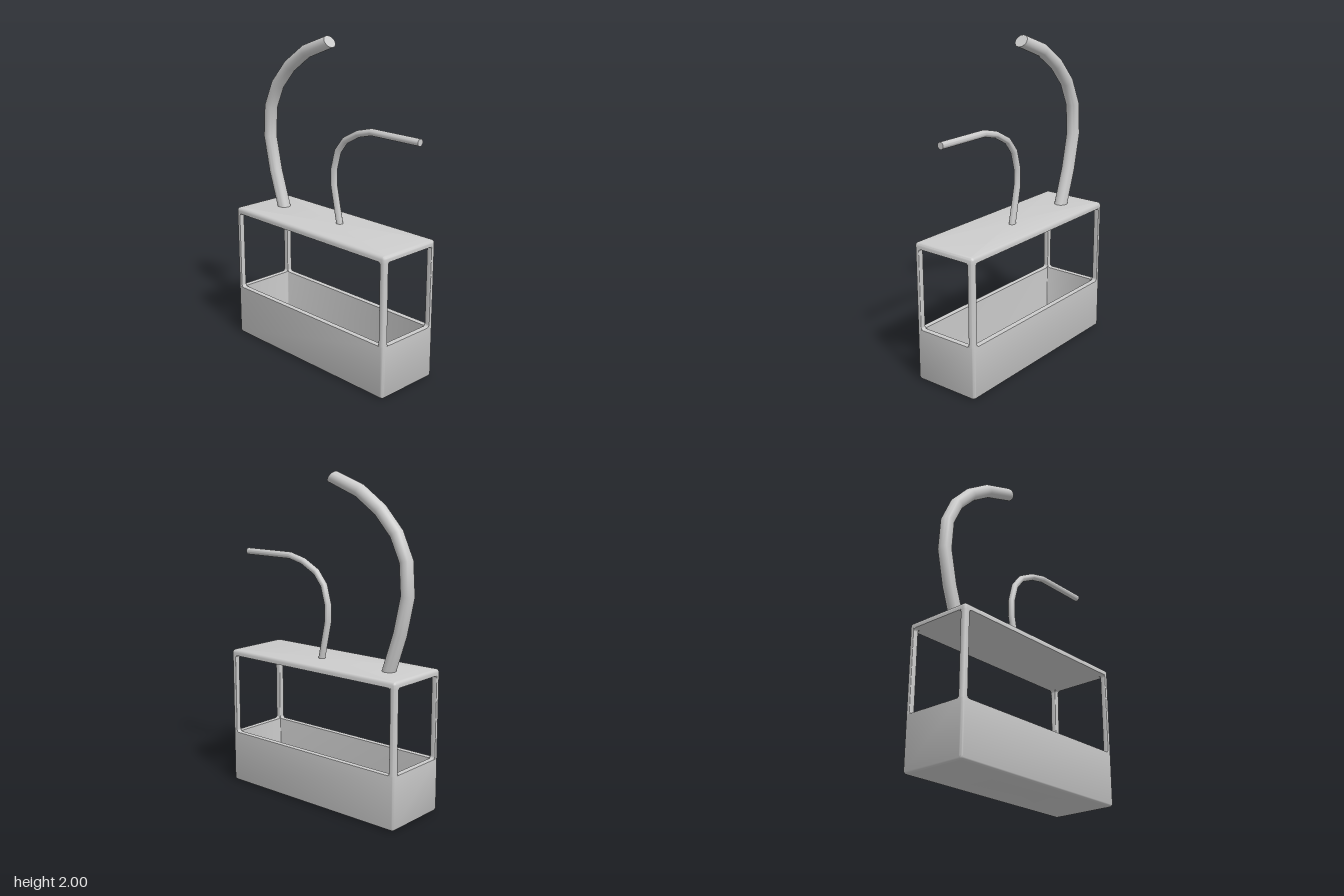
import * as THREE from 'three';
import { toCreasedNormals } from 'three/addons/utils/BufferGeometryUtils.js';

const W = 0.651, D = 0.218, H = 0.875;   // half width, half depth, height of the case
const CX = -0.0125, CZ = -0.004;         // case centre
const WALL = 0.034, R = 0.02;            // wall thickness, outer edge radius
const SILL = 0.33, LINTEL = 0.838;       // opening heights
const material = new THREE.MeshStandardMaterial({ color: 0xcccccc });

// Closed solid through a series of equal-length rings
function loft(rings) {
  const n = rings[0].length, pos = [];
  const tri = (...pts) => pts.forEach(p => pos.push(p.x, p.y, p.z));
  for (let i = 0; i < rings.length - 1; i++) {
    for (let j = 0; j < n; j++) {
      const k = (j + 1) % n, a = rings[i], b = rings[i + 1];
      tri(a[j], a[k], b[k]);
      tri(a[j], b[k], b[j]);
    }
  }
  const centre = ring => ring.reduce((s, p) => s.add(p), new THREE.Vector3()).divideScalar(n);
  const first = rings[0], last = rings[rings.length - 1];
  const c0 = centre(first), c1 = centre(last);
  for (let j = 0; j < n; j++) {
    const k = (j + 1) % n;
    tri(c0, first[k], first[j]);
    tri(c1, last[j], last[k]);
  }
  const g = new THREE.BufferGeometry();
  g.setAttribute('position', new THREE.Float32BufferAttribute(pos, 3));
  return toCreasedNormals(g, 0.75);
}

// Horizontal rounded rectangle; radii start at the +x, -z corner
function rectRing(w, d, y, radii, cx = CX, cz = CZ) {
  const signs = [[1, -1], [-1, -1], [-1, 1], [1, 1]], ring = [];
  signs.forEach(([sx, sz], q) => {
    for (let i = 0; i <= 5; i++) {
      const a = (q + i / 5) * Math.PI / 2, r = radii[q];
      ring.push(new THREE.Vector3(
        cx + sx * (w - r) + r * Math.cos(a), y, cz + sz * (d - r) - r * Math.sin(a)));
    }
  });
  return ring;
}

// Case outline shrunk by an inset
const caseRing = (inset, y) =>
  rectRing(W - inset, D - inset, y, Array(4).fill(Math.max(R - inset, 0.004)));

// Quarter-round edge profile as [inset, height above the edge]
const edge = [0, 1, 2, 3, 4].map(i => {
  const a = i * Math.PI / 8;
  return [R * (1 - Math.sin(a)), R * (1 - Math.cos(a))];
});

// Round tube through points in a vertical plane, with optional end angles
function bentTube(points, radius, z, startAngle, endAngle) {
  const last = points.length - 1;
  return loft(points.map(([x, y], i) => {
    const a = points[Math.max(i - 1, 0)], b = points[Math.min(i + 1, last)];
    let t = Math.atan2(b[1] - a[1], b[0] - a[0]);
    if (i === 0 && startAngle !== undefined) t = startAngle;
    if (i === last && endAngle !== undefined) t = endAngle;
    return Array.from({ length: 24 }, (_, j) => {
      const q = j / 24 * Math.PI * 2, u = radius * Math.cos(q);
      return new THREE.Vector3(x - Math.sin(t) * u, y + Math.cos(t) * u, z + radius * Math.sin(q));
    });
  }));
}

// Small concave corner piece for the openings
function filletGeometry() {
  const r = 0.016, s = new THREE.Shape();
  s.moveTo(0, 0);
  s.lineTo(r, 0);
  s.absarc(r, r, r, -Math.PI / 2, -Math.PI, true);
  s.lineTo(0, 0);
  const g = new THREE.ExtrudeGeometry(s, { depth: WALL - 0.002, bevelEnabled: false, curveSegments: 5 });
  return g.translate(0, 0, -WALL / 2 + 0.001);
}

export function createModel() {
  const group = new THREE.Group();
  const add = (name, geometry, parent = group) => {
    const mesh = new THREE.Mesh(geometry, material);
    mesh.name = name;
    parent.add(mesh);
    return mesh;
  };

  // Open tub: outside, rim, inside, floor
  add('tub', loft([
    ...edge.map(([inset, h]) => caseRing(inset, h)),
    caseRing(0, SILL), caseRing(WALL, SILL), caseRing(WALL, WALL),
  ]));

  // Roof slab with rounded top edge
  add('roof', loft([
    caseRing(0, LINTEL),
    ...edge.slice().reverse().map(([inset, h]) => caseRing(inset, H - h)),
  ]));

  // Corner posts, rounded on the outside corner only
  const posts = new THREE.Group();
  posts.name = 'cornerPosts';
  group.add(posts);
  [[1, -1], [-1, -1], [-1, 1], [1, 1]].forEach(([sx, sz], q) => {
    const radii = Array(4).fill(0.002), h = WALL / 2;
    radii[q] = R;
    const ring = y => rectRing(h, h, y, radii, CX + sx * (W - h), CZ + sz * (D - h));
    add('cornerPost', loft([ring(SILL), ring(LINTEL)]), posts);
  });

  // Rounded corners of the four openings
  const fillets = new THREE.Group();
  fillets.name = 'openingCorners';
  group.add(fillets);
  const fillet = filletGeometry();
  for (let side = 0; side < 4; side++) {
    const along = side % 2 ? D : W, out = side % 2 ? W : D;
    const panel = new THREE.Group();
    panel.name = 'openingCornerSet';
    panel.position.set(CX, 0, CZ);
    panel.rotation.y = side * Math.PI / 2;
    fillets.add(panel);
    for (const sx of [-1, 1]) {
      for (const top of [false, true]) {
        const m = add('openingCorner', fillet, panel);
        m.position.set(sx * (along - WALL), top ? LINTEL : SILL, out - WALL / 2);
        // Quarter turns keep the faces pointing outward
        m.rotation.z = (sx < 0 ? (top ? 3 : 0) : (top ? 2 : 1)) * Math.PI / 2;
      }
    }
  }

  // Curved pipes rising from the roof
  add('largePipe', bentTube([
    [-0.47, 0.86], [-0.55, 1.1], [-0.598, 1.32], [-0.585, 1.515], [-0.515, 1.665],
    [-0.4, 1.79], [-0.25, 1.893], [-0.047, 1.968],
  ], 0.041, -0.03, undefined, 0.66));
  add('smallPipe', bentTube([
    [0.042, 0.86], [-0.01, 1.106], [-0.01, 1.21], [0.022, 1.325], [0.083, 1.4],
    [0.19, 1.457], [0.297, 1.484], [0.663, 1.484],
  ], 0.021, -0.031, undefined, 0));

  return group;
}
